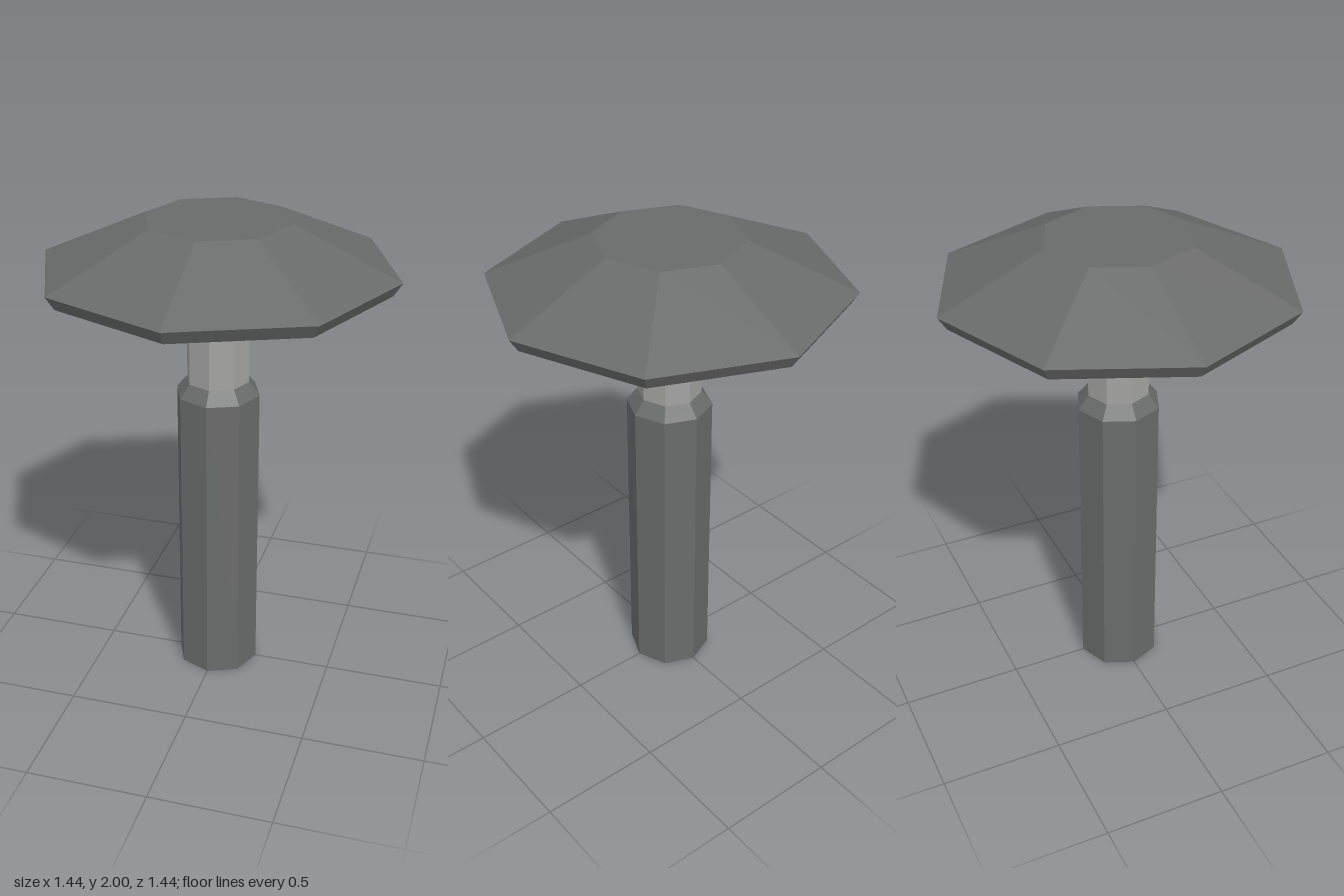
import * as THREE from 'three';

const darkMetal = new THREE.MeshStandardMaterial({ color: 0x696b6a, flatShading: true });
darkMetal.name = 'darkMetal';
const paleGrey = new THREE.MeshStandardMaterial({ color: 0xa3a3a2, flatShading: true });
paleGrey.name = 'paleGrey';

// Eight-sided turned part; profile is [radius, height] from the bottom axis outward and up
function turned(name, material, profile) {
  const points = profile.map(([r, y]) => new THREE.Vector2(r, y));
  const mesh = new THREE.Mesh(new THREE.LatheGeometry(points, 8), material);
  mesh.name = name;
  return mesh;
}

export function createModel() {
  const model = new THREE.Group();
  model.name = 'bollardLight';

  // Post with a closed base and a bevelled shoulder
  model.add(turned('post', darkMetal, [[0, 0], [0.174, 0], [0.174, 1.28], [0.13, 1.335], [0, 1.335]]));

  // Pale neck between post and shade
  model.add(turned('neck', paleGrey, [[0.13, 1.335], [0.13, 1.86]]));

  // Wide shade: hollowed underside, narrow rim, sloping roof, flat top
  model.add(turned('shade', darkMetal, [[0, 1.875], [0.685, 1.755], [0.72, 1.81], [0.296, 2], [0, 2]]));

  return model;
}
